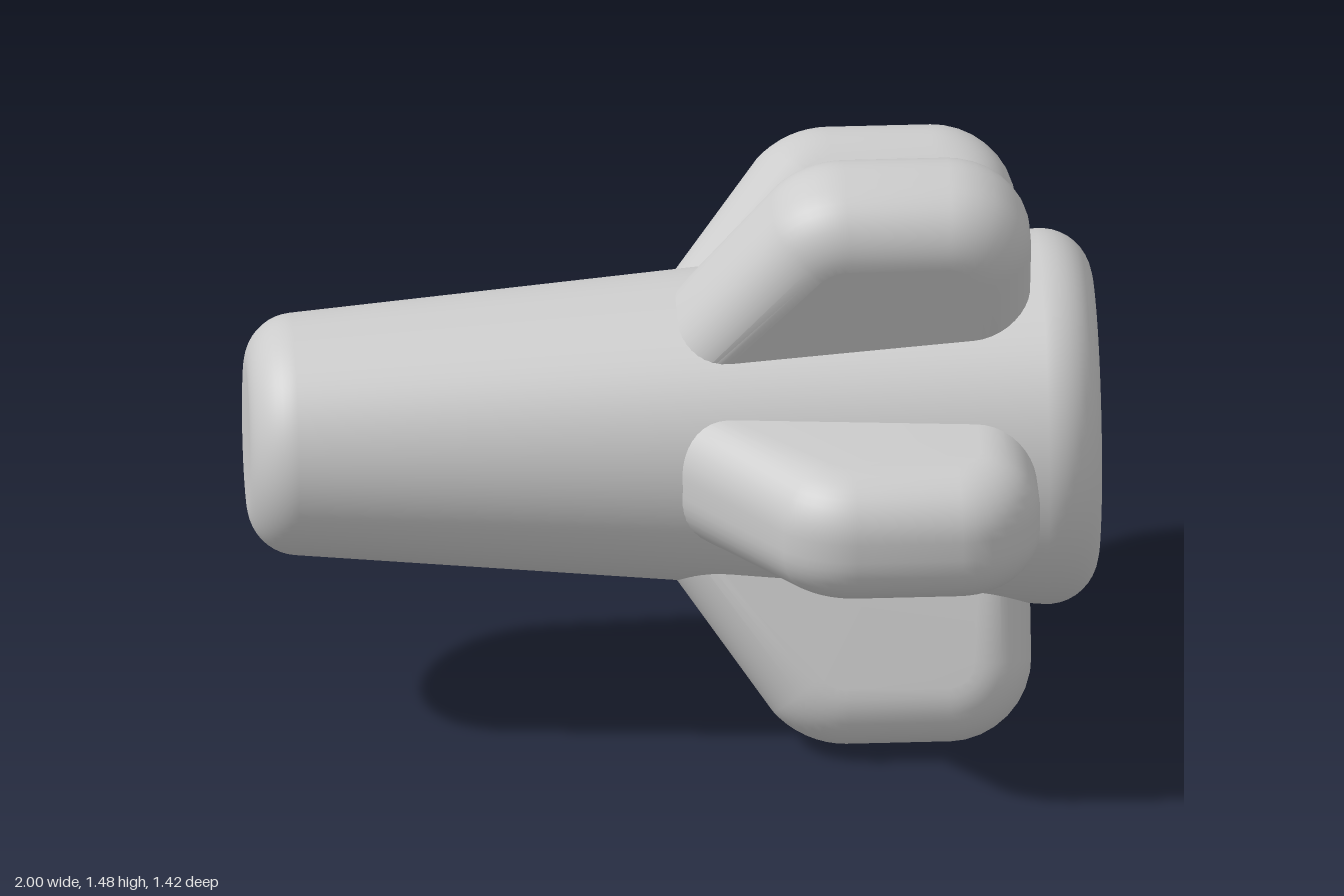
import * as THREE from 'three';
import { toCreasedNormals } from 'three/addons/utils/BufferGeometryUtils.js';

const AXIS_Y = 0.743, AXIS_Z = -0.053; // centre line of the body, running along x
const FIN_COUNT = 5;
const FIN_ROUND = 0.14, FIN_THICKNESS = 0.326;

// Tapered body with rounded rims, turned around its long axis
function bodyGeometry() {
  const round = 0.12, tilt = 0.09, steps = 10;
  const points = [new THREE.Vector2(0, -1)];
  const arc = (along, radius, from, to) => {
    for (let i = 0; i <= steps; i++) {
      const a = from + (to - from) * i / steps;
      points.push(new THREE.Vector2(radius + round * Math.sin(a), along + round * Math.cos(a)));
    }
  };
  arc(-0.88, 0.166, Math.PI, Math.PI / 2 + tilt);
  arc(0.88, 0.323, Math.PI / 2 + tilt, 0);
  points.push(new THREE.Vector2(0, 1));
  return new THREE.LatheGeometry(points, 96).rotateZ(-Math.PI / 2);
}

// Swept fin: outline of the flat side, x along the body, y outward; the bevel rounds the edges
function finGeometry() {
  const corners = [[0.014, 0.2, 0], [0.7, 0.2, 0], [0.7, 0.622, 0.06], [0.361, 0.622, 0.09]];
  const pts = corners.map(([x, y]) => new THREE.Vector2(x, y));
  const outline = [];
  corners.forEach(([, , r], i) => {
    const p = pts[i];
    if (r === 0) { outline.push(p); return; }
    const toPrev = pts[(i + 3) % 4].clone().sub(p).normalize();
    const toNext = pts[(i + 1) % 4].clone().sub(p).normalize();
    const half = Math.acos(toPrev.dot(toNext)) / 2;
    const centre = toPrev.clone().add(toNext).normalize().multiplyScalar(r / Math.sin(half)).add(p);
    const start = toPrev.clone().multiplyScalar(r / Math.tan(half)).add(p).sub(centre);
    const sweep = Math.PI - 2 * half;
    for (let k = 0; k <= 8; k++) {
      outline.push(start.clone().rotateAround(new THREE.Vector2(), sweep * k / 8).add(centre));
    }
  });
  const depth = FIN_THICKNESS - 2 * FIN_ROUND;
  const geometry = new THREE.ExtrudeGeometry(new THREE.Shape(outline), {
    depth, bevelEnabled: true, bevelSize: FIN_ROUND, bevelThickness: FIN_ROUND, bevelSegments: 10,
  });
  geometry.translate(0, 0, -depth / 2);
  return toCreasedNormals(geometry, 0.6);
}

export function createModel() {
  const model = new THREE.Group();
  model.name = 'finnedBody';
  const material = new THREE.MeshStandardMaterial({ color: 0xcccccc });

  const body = new THREE.Mesh(bodyGeometry(), material);
  body.name = 'body';
  model.add(body);

  // Fins spaced evenly around the body, the first pointing to the front
  const finShape = finGeometry();
  for (let i = 0; i < FIN_COUNT; i++) {
    const fin = new THREE.Mesh(finShape, material);
    fin.name = `fin${i + 1}`;
    fin.rotation.x = Math.PI / 2 + i * 2 * Math.PI / FIN_COUNT;
    model.add(fin);
  }

  model.position.set(0, AXIS_Y, AXIS_Z);
  const root = new THREE.Group();
  root.name = 'model';
  root.add(model);
  return root;
}
